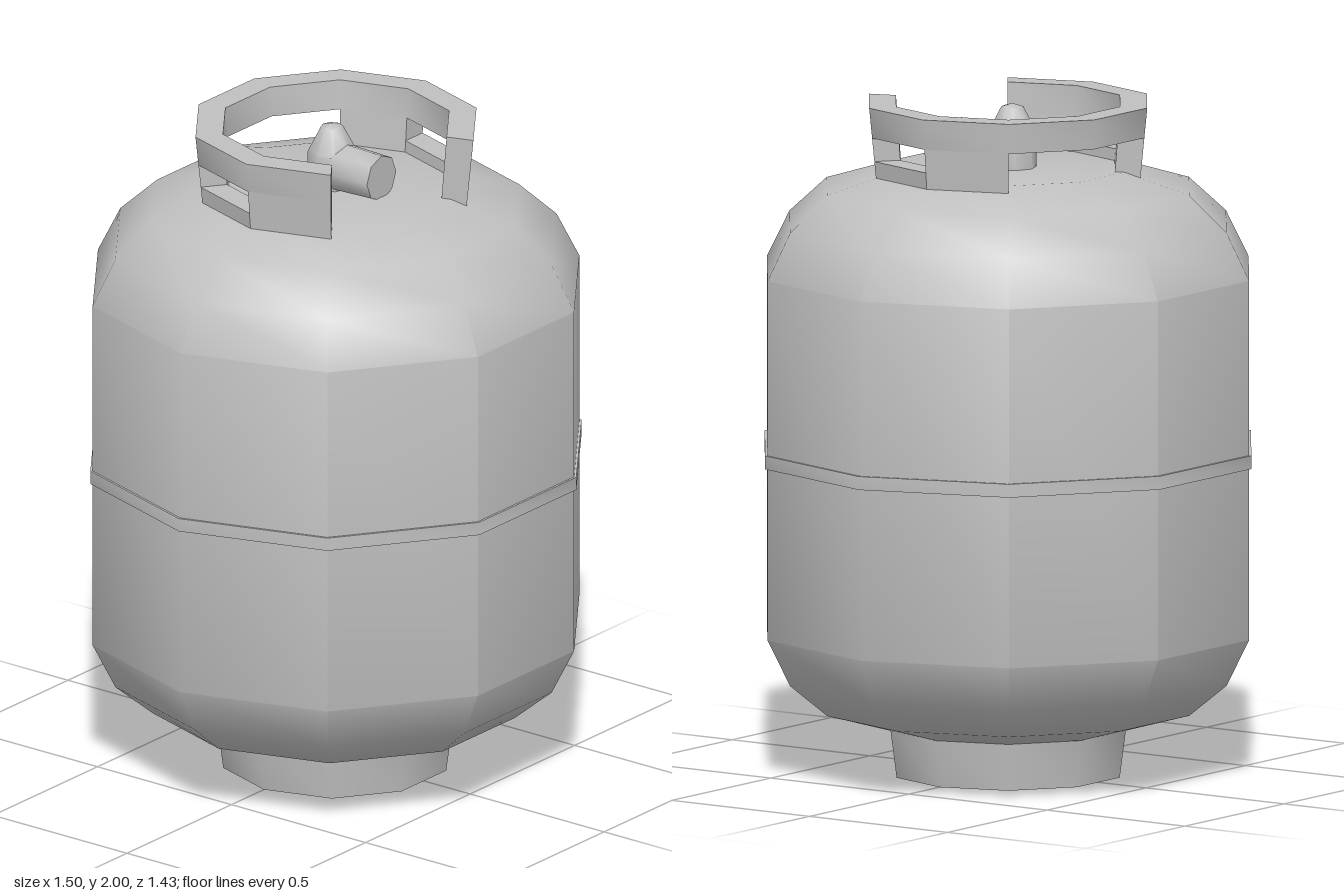
import * as THREE from 'three';
import { toCreasedNormals, mergeGeometries } from 'three/addons/utils/BufferGeometryUtils.js';

const STEP = Math.PI / 5; // everything round on the tank has ten sides
const CREASE = 0.7;

// Ten-sided solid of revolution with a corner on the x axis
function turned(profile) {
  const points = profile.map(([r, y]) => new THREE.Vector2(r, y));
  return toCreasedNormals(new THREE.LatheGeometry(points, 10, Math.PI / 2), CREASE);
}

// Block of the flared collar wall covering ring segments s0..s1 and heights y0..y1
function collarBlock(s0, s1, y0, y1) {
  const outer = (y) => 0.41 + (y - 1.8) * 0.1;
  const inner = (y) => 0.33 + (y - 1.8) * 0.08;
  const section = [[outer(y0), y0], [outer(y1), y1], [inner(y1), y1], [inner(y0), y0]];
  const position = [];
  const at = (s, i) => {
    const [r, y] = section[i % 4];
    return [r * Math.cos(s * STEP), y, r * Math.sin(s * STEP)];
  };
  const quad = (a, b, c, d) => position.push(...a, ...b, ...c, ...a, ...c, ...d);
  for (let s = s0; s < s1; s++) {
    for (let i = 0; i < 4; i++) quad(at(s, i), at(s, i + 1), at(s + 1, i + 1), at(s + 1, i));
  }
  quad(at(s0, 3), at(s0, 2), at(s0, 1), at(s0, 0));
  quad(at(s1, 0), at(s1, 1), at(s1, 2), at(s1, 3));
  const geometry = new THREE.BufferGeometry();
  geometry.setAttribute('position', new THREE.Float32BufferAttribute(position, 3));
  return toCreasedNormals(geometry, CREASE);
}

export function createModel() {
  const model = new THREE.Group();
  model.name = 'gasTank';
  const steel = new THREE.MeshStandardMaterial({ color: 0xc0c0c0 });
  steel.name = 'grey steel';

  const add = (name, geometry, parent = model) => {
    const mesh = new THREE.Mesh(geometry, steel);
    mesh.name = name;
    parent.add(mesh);
    return mesh;
  };

  // Rounded tank
  add('tankBody', turned([
    [0, 0.14], [0.36, 0.14], [0.56, 0.195], [0.675, 0.29], [0.745, 0.43],
    [0.745, 1.5], [0.675, 1.64], [0.56, 1.745], [0.36, 1.805], [0, 1.805],
  ]));

  // Weld band round the middle
  add('weldBand', turned([[0.74, 0.94], [0.752, 0.94], [0.752, 0.98], [0.74, 0.98]]));

  // Foot ring
  add('footRing', turned([[0, 0], [0.345, 0], [0.365, 0.15]]));

  // Collar, open at the front: segments run from 4 round the back to 12
  const collar = [
    collarBlock(4, 12, 1.91, 2.0),
    collarBlock(4, 5, 1.79, 1.91),
    collarBlock(5, 6, 1.79, 1.84), // sill of the right hand slot
    collarBlock(6, 7, 1.79, 1.91), // wide back opening follows
    collarBlock(9, 10, 1.79, 1.91),
    collarBlock(10, 11, 1.79, 1.84), // sill of the left hand slot
    collarBlock(11, 12, 1.79, 1.91),
  ];
  add('collar', mergeGeometries(collar));

  // Valve: tapered stem with an outlet facing forward
  const valve = new THREE.Group();
  valve.name = 'valve';
  model.add(valve);
  const stemProfile = [[0, 1.8], [0.072, 1.8], [0.072, 1.91], [0.033, 1.985], [0, 1.995]];
  const stem = new THREE.LatheGeometry(stemProfile.map(([r, y]) => new THREE.Vector2(r, y)), 8);
  add('valveStem', toCreasedNormals(stem, 0.85), valve).position.z = -0.015;

  const outlet = new THREE.CylinderGeometry(0.07, 0.075, 0.17, 8);
  outlet.rotateX(Math.PI / 2);
  add('valveOutlet', toCreasedNormals(outlet, 0.85), valve).position.set(0, 1.865, 0.085);

  return model;
}
